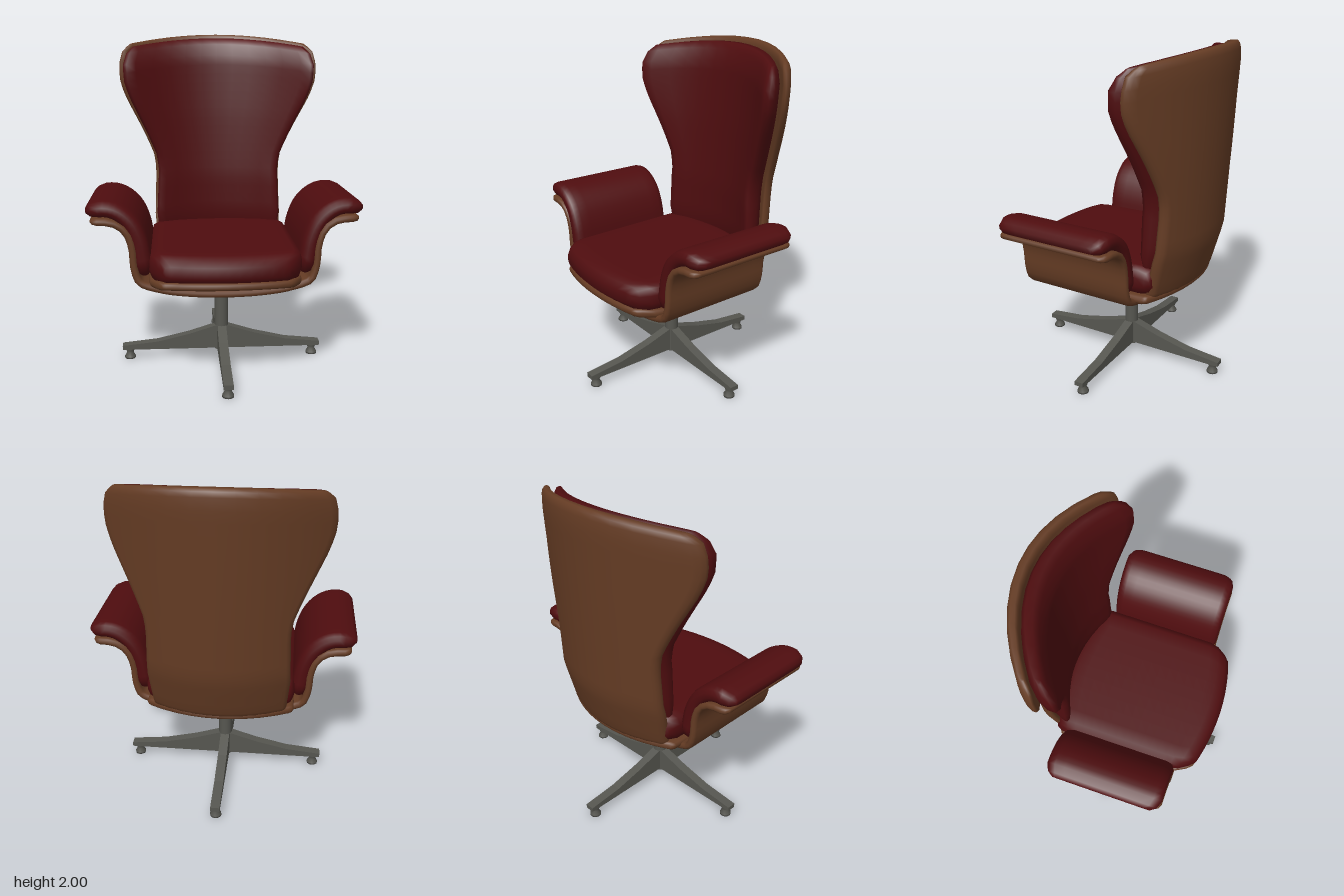
import * as THREE from 'three';

const mat = (name, color) => {
  const m = new THREE.MeshStandardMaterial({ color });
  m.name = name;
  return m;
};
const lerp = THREE.MathUtils.lerp;

// Piecewise linear lookup in a list of [key, value]
function table(points, key) {
  for (let i = 1; i < points.length; i++) {
    const [a, va] = points[i - 1], [b, vb] = points[i];
    if (key <= b) return lerp(va, vb, Math.max(0, (key - a) / (b - a)));
  }
  return points[points.length - 1][1];
}

// Soft-edged slab: map(u, v, t) places width u (-1..1), length v (0..1), thickness t (0..1)
function slab(map, { rimU = 0.1, rimV = 0.06, corner = 0.1, nu = 10, nv = 14 } = {}) {
  const ring = [], e = 1 - rimU, r = 1 - rimU * 0.3;
  for (let i = 0; i <= nu; i++) ring.push([lerp(-e, e, i / nu), 0]);
  ring.push([r, 0.1], [1, 0.35], [1, 0.65], [r, 0.9]);
  for (let i = 0; i <= nu; i++) ring.push([lerp(e, -e, i / nu), 1]);
  ring.push([-r, 0.9], [-1, 0.65], [-1, 0.35], [-r, 0.1]);

  const ends = [[0, 0.4], [rimV * 0.35, 0.8]];
  const stations = [...ends];
  for (let i = 0; i <= nv; i++) stations.push([lerp(rimV, 1 - rimV, i / nv), 1]);
  ends.reverse().forEach(([v, k]) => stations.push([1 - v, k]));

  const pos = [], idx = [], n = ring.length;
  for (const [v, k] of stations)
    for (const [u, t] of ring) pos.push(...map(u * (1 - corner * (1 - k)), v, 0.5 + (t - 0.5) * k));
  for (let s = 0; s < stations.length - 1; s++)
    for (let i = 0; i < n; i++) {
      const a = s * n + i, b = s * n + (i + 1) % n;
      idx.push(a, b, b + n, a, b + n, a + n);
    }
  // End caps as strips between the two faces of the ring
  const last = (stations.length - 1) * n;
  const half = n / 2;
  const pair = i => [i, (n - 4 - 1 - i + 2 * n - (n - 4 - 1 - (2 * nu + 5))) % n];
  for (let i = -2; i < half - 3; i++) {
    const [a, d] = pair((i + n) % n), [b, c] = pair((i + 1 + n) % n);
    idx.push(a, c, b, a, d, c);
    idx.push(last + a, last + b, last + c, last + a, last + c, last + d);
  }
  // Turn the faces outward when the map mirrors them
  const p = i => new THREE.Vector3().fromArray(pos, i * 3);
  let volume = 0;
  for (let i = 0; i < idx.length; i += 3) volume += p(idx[i]).dot(p(idx[i + 1]).cross(p(idx[i + 2])));
  if (volume < 0) idx.reverse();

  const g = new THREE.BufferGeometry();
  g.setAttribute('position', new THREE.Float32BufferAttribute(pos, 3));
  g.setIndex(idx);
  g.computeVertexNormals();
  return g;
}

// Point on a path in the xy plane, offset along its normal
function pathPoint(curve, v, offset) {
  const p = curve.getPointAt(v), t = curve.getTangentAt(v);
  return [p.x - t.y * offset, p.y + t.x * offset];
}
const curveOf = pts => new THREE.CatmullRomCurve3(pts.map(([x, y]) => new THREE.Vector3(x, y, 0)), false, 'centripetal');

export function createModel() {
  const model = new THREE.Group();
  const leather = mat('red leather', 0x4f0d0f);
  const wood = mat('brown wood', 0x653c24);
  const metal = mat('grey metal', 0x565650);
  const add = (name, geometry, material, parent = model) => {
    const m = new THREE.Mesh(geometry, material);
    m.name = name;
    parent.add(m);
    return m;
  };

  // Backrest: waisted outline, wide at the head, wrapped around the sitter
  const width = [[0.61, 0.39], [0.85, 0.41], [1.15, 0.4], [1.25, 0.415], [1.4, 0.475], [1.62, 0.57],
    [1.74, 0.61], [1.86, 0.62], [1.95, 0.605], [2, 0.56]];
  const rear = [[0.61, -0.465], [0.9, -0.548], [1.2, -0.565], [1.9, -0.605], [2, -0.6]];
  const front = [[0.74, -0.375], [1.1, -0.365], [1.5, -0.385], [1.85, -0.41], [2, -0.44]];
  const drop = (x, y) => 0.2 * x * x * Math.max(0, (y - 1.2) / 0.8);
  add('backShell', slab((u, v, t) => {
    const y = lerp(0.61, 2, v), x = u * table(width, y);
    return [x, y - drop(x, y), table(rear, y) + 0.7 * x * x + 0.065 * t];
  }, { rimU: 0.06, rimV: 0.03, corner: 0.04, nv: 20 }), wood);
  add('backCushion', slab((u, v, t) => {
    const y = lerp(0.76, 1.975, v), x = u * (table(width, y) - 0.012 - 0.02 * v);
    const z = lerp(table(rear, y) + 0.06, table(front, y), t);
    return [x, y - drop(x, y), z + 0.73 * x * x];
  }, { rimU: 0.13, rimV: 0.09, corner: 0.06, nv: 18 }), leather);

  // Seat: bowed front edge on a thin tray
  const seatSide = v => 1 - 0.16 * Math.max(0, (v - 0.85) / 0.15) ** 2;
  add('seatCushion', slab((u, v, t) => {
    const x = u * 0.435 * seatSide(v);
    const z = lerp(-0.44 + 0.5 * x * x, 0.588 - 0.42 * x * x, v);
    return [x, lerp(0.635, 0.81 - 0.015 * v, t), z];
  }, { rimU: 0.12, rimV: 0.08, corner: 0.06 }), leather);
  add('seatTray', slab((u, v, t) => {
    const x = u * 0.435 * seatSide(v);
    const z = lerp(-0.465 + 0.7 * x * x, 0.58 - 0.42 * x * x, v);
    return [x, 0.578 + 0.1 * z * z + 0.05 * t, z];
  }, { rimU: 0.06, rimV: 0.03, corner: 0.03 }), wood);

  // Sling under the seat that sweeps up into both armrests
  const side = [[0.2, 0.53], [0.37, 0.555], [0.5, 0.605], [0.535, 0.7], [0.545, 0.82], [0.575, 0.9],
    [0.63, 0.94], [0.755, 0.952]];
  const sling = curveOf([...side.map(([x, y]) => [-x, y]).reverse(), [0, 0.522], ...side]);
  add('armShell', slab((u, v, t) => [...pathPoint(sling, v, 0.042 * t), 0.075 + 0.35 * u],
    { rimU: 0.06, rimV: 0.02, corner: 0.16, nv: 44 }), wood);

  // Arm pads, mirrored
  const pad = curveOf([[0.455, 0.65], [0.47, 0.75], [0.487, 0.85], [0.53, 0.95], [0.6, 1.015], [0.67, 1.037], [0.778, 1.025]]);
  for (const s of [1, -1]) {
    add(s > 0 ? 'leftArmCushion' : 'rightArmCushion', slab((u, v, t) => {
      const [x, y] = pathPoint(pad, v, (t - 0.5) * lerp(0.105, 0.088, v));
      return [s * x, y, 0.075 + 0.347 * u];
    }, { rimU: 0.14, rimV: 0.12, corner: 0.25, nv: 16 }), leather);
  }

  // Pedestal
  const base = new THREE.Group();
  base.name = 'base';
  model.add(base);
  add('column', new THREE.CylinderGeometry(0.042, 0.042, 0.46, 16), metal, base).position.y = 0.28;
  add('collar', new THREE.CylinderGeometry(0.083, 0.083, 0.04, 12), metal, base).position.y = 0.508;

  // Four tapering legs with flared feet
  const legShape = new THREE.Shape([[0, 0.06], [0.62, 0.06], [0.62, 0.087], [0.4, 0.11], [0.2, 0.157], [0.04, 0.207], [0, 0.207]]
    .map(([x, y]) => new THREE.Vector2(x, y)));
  const legGeometry = new THREE.ExtrudeGeometry(legShape, { depth: 0.056, bevelEnabled: false }).translate(0, 0, -0.028);
  const footGeometry = new THREE.LatheGeometry([[0, 0], [0.034, 0], [0.034, 0.012], [0.02, 0.035], [0.026, 0.05], [0.026, 0.062]]
    .map(([x, y]) => new THREE.Vector2(x, y)), 12);
  for (let i = 0; i < 4; i++) {
    const leg = new THREE.Group();
    leg.name = 'leg' + (i + 1);
    leg.rotation.y = i * Math.PI / 2;
    add('spoke', legGeometry, metal, leg);
    add('foot', footGeometry, metal, leg).position.x = 0.575;
    base.add(leg);
  }
  return model;
}
